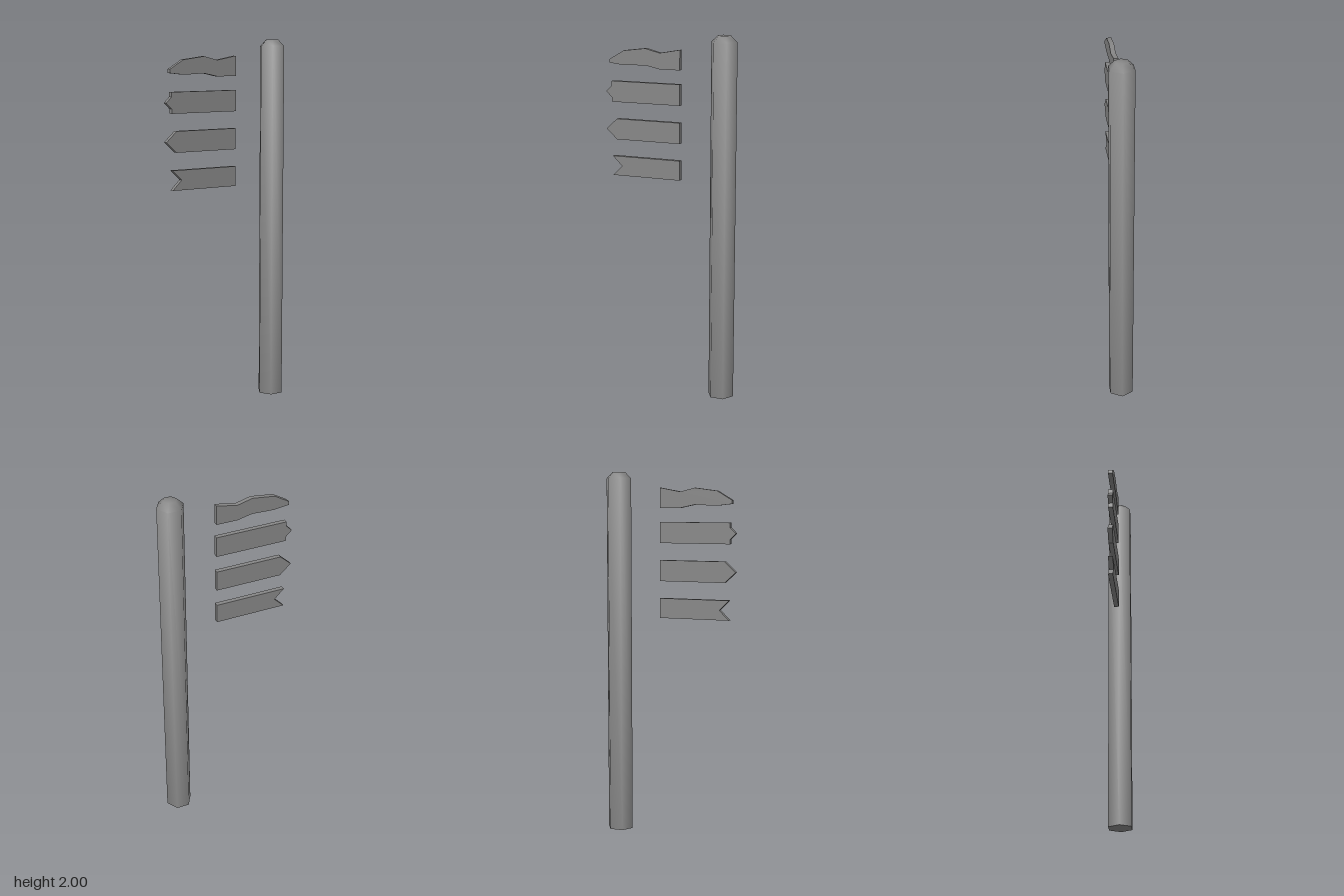
import * as THREE from 'three';
import { toCreasedNormals } from 'three/addons/utils/BufferGeometryUtils.js';

const THICKNESS = 0.026;
const RIGHT = 0.057; // shared straight end of all boards

export function createModel() {
  const model = new THREE.Group();
  model.name = 'signpost';
  const material = new THREE.MeshStandardMaterial({ color: 0x868686 });

  // Hexagonal post with a chamfered top, smooth around its sides
  const profile = [[0, 0], [0.073, 0], [0.073, 1.965], [0.037, 2], [0, 2]]
    .map(([r, y]) => new THREE.Vector2(r, y));
  const postGeometry = toCreasedNormals(
    new THREE.LatheGeometry(profile, 6, Math.PI / 2), 1.2);
  const post = new THREE.Mesh(postGeometry, material);
  post.name = 'post';
  post.position.x = 0.303;
  model.add(post);

  // Flat board cut from an outline, centred on z = 0; gentle bends are smooth
  function addBoard(name, y, outline) {
    const shape = new THREE.Shape(outline.map(([px, py]) => new THREE.Vector2(px, py)));
    const geometry = new THREE.ExtrudeGeometry(shape, { depth: THICKNESS, bevelEnabled: false });
    geometry.translate(0, 0, -THICKNESS / 2);
    const board = new THREE.Mesh(toCreasedNormals(geometry, 0.6), material);
    board.name = name;
    board.position.y = y;
    model.add(board);
  }

  // Straight board whose left end follows the given points, top to bottom
  const straight = (half, end) => [[RIGHT, -half], [RIGHT, half], ...end];

  addBoard('wavyBoard', 1.861, [
    [RIGHT, -0.054], [RIGHT, 0.054], [-0.06, 0.033], [-0.143, 0.054], [-0.27, 0.038],
    [-0.353, -0.011], [-0.353, -0.031], [-0.268, -0.041], [-0.143, -0.036], [-0.06, -0.054],
  ]);
  addBoard('arrowTipBoard', 1.674, straight(0.057, [
    [-0.343, 0.057], [-0.343, 0.032], [-0.376, 0], [-0.343, -0.032], [-0.343, -0.057],
  ]));
  addBoard('pointedBoard', 1.467, straight(0.057, [
    [-0.314, 0.057], [-0.376, 0], [-0.314, -0.057],
  ]));
  addBoard('notchedBoard', 1.262, straight(0.054, [
    [-0.34, 0.054], [-0.285, 0], [-0.34, -0.054],
  ]));

  return model;
}
